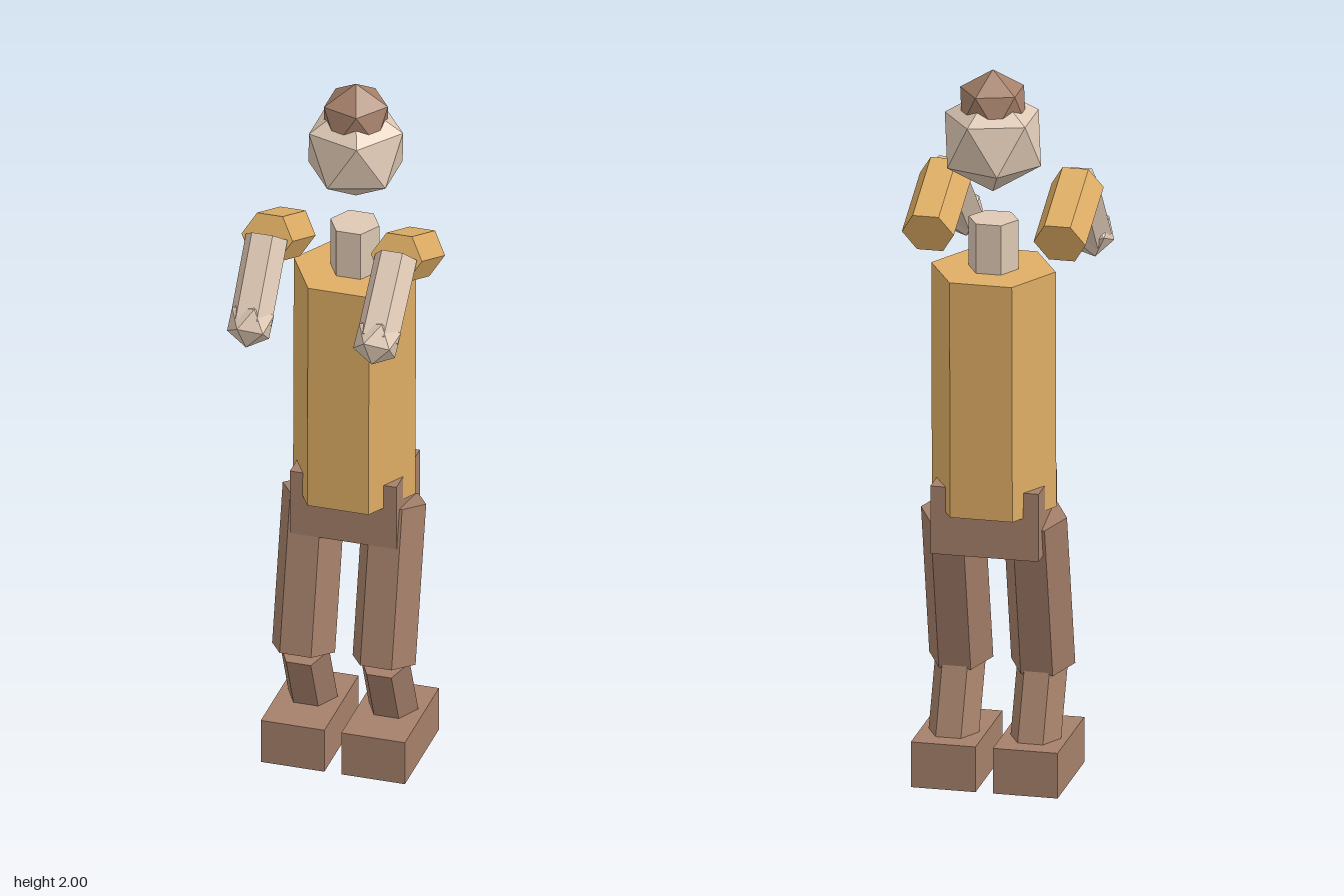
import * as THREE from 'three';

const flat = (name, color) => {
  const m = new THREE.MeshStandardMaterial({ color, flatShading: true });
  m.name = name;
  return m;
};

export function createModel() {
  const cloth = flat('ochre cloth', 0xdfae65);
  const brown = flat('brown', 0xa5806a);
  const skin = flat('pale skin', 0xdec8b4);

  const model = new THREE.Group();
  model.name = 'figure';

  const add = (name, geometry, material, x, y, z, tilt = 0) => {
    const mesh = new THREE.Mesh(geometry, material);
    mesh.name = name;
    mesh.position.set(x, y, z);
    mesh.rotation.x = tilt;
    model.add(mesh);
  };

  const box = (name, material, w, h, d, x, y, z) =>
    add(name, new THREE.BoxGeometry(w, h, d), material, x, y, z);

  // Angle that turns the local y axis along the line from bottom to top, each given as [y, z]
  const tiltOf = (bottom, top) => Math.atan2(top[1] - bottom[1], top[0] - bottom[0]);

  // Six-sided prism between two points, with flat faces to front and back
  const prism = (name, material, r, x, bottom, top) => {
    const length = Math.hypot(top[0] - bottom[0], top[1] - bottom[1]);
    const geometry = new THREE.CylinderGeometry(r, r, length, 6, 1, false, Math.PI / 6);
    add(name, geometry, material, x, (bottom[0] + top[0]) / 2, (bottom[1] + top[1]) / 2, tiltOf(bottom, top));
  };

  // Icosahedron standing on a corner
  const gem = (name, material, r, x, y, z, tilt = 0) => {
    const geometry = new THREE.IcosahedronGeometry(r, 0);
    geometry.rotateZ(-Math.atan(2 / (1 + Math.sqrt(5))));
    add(name, geometry, material, x, y, z, tilt);
  };

  // Head and body
  gem('hair', brown, 0.1, 0, 1.9, -0.155);
  gem('head', skin, 0.147, 0, 1.805, -0.155);
  prism('neck', skin, 0.068, 0, [1.4, -0.147], [1.58, -0.147]);
  prism('torso', cloth, 0.17, 0, [0.78, -0.141], [1.442, -0.148]);
  box('pelvis', brown, 0.296, 0.19, 0.21, 0, 0.755, -0.147);

  for (const [side, s] of [['left', 1], ['right', -1]]) {
    // Legs
    const legX = 0.112 * s;
    prism(side + 'Thigh', brown, 0.0875, legX, [0.312, -0.048], [0.752, -0.143]);
    prism(side + 'Shin', brown, 0.069, legX, [0.06, -0.16], [0.31, -0.057]);
    box(side + 'Foot', brown, 0.177, 0.127, 0.305, legX, 0.0635, -0.102);

    // Arms, the left hand reaching a little further forward
    const armX = 0.18 * s;
    const elbow = [1.62, 0.064];
    const wrist = s > 0 ? [1.457, 0.234] : [1.436, 0.208];
    prism(side + 'UpperArm', cloth, 0.071, armX, [1.522, -0.146], [1.617, 0.061]);
    prism(side + 'Forearm', skin, 0.058, armX, wrist, elbow);
    gem(side + 'Hand', skin, 0.067, armX, wrist[0], wrist[1], tiltOf(wrist, elbow));
  }

  return model;
}
